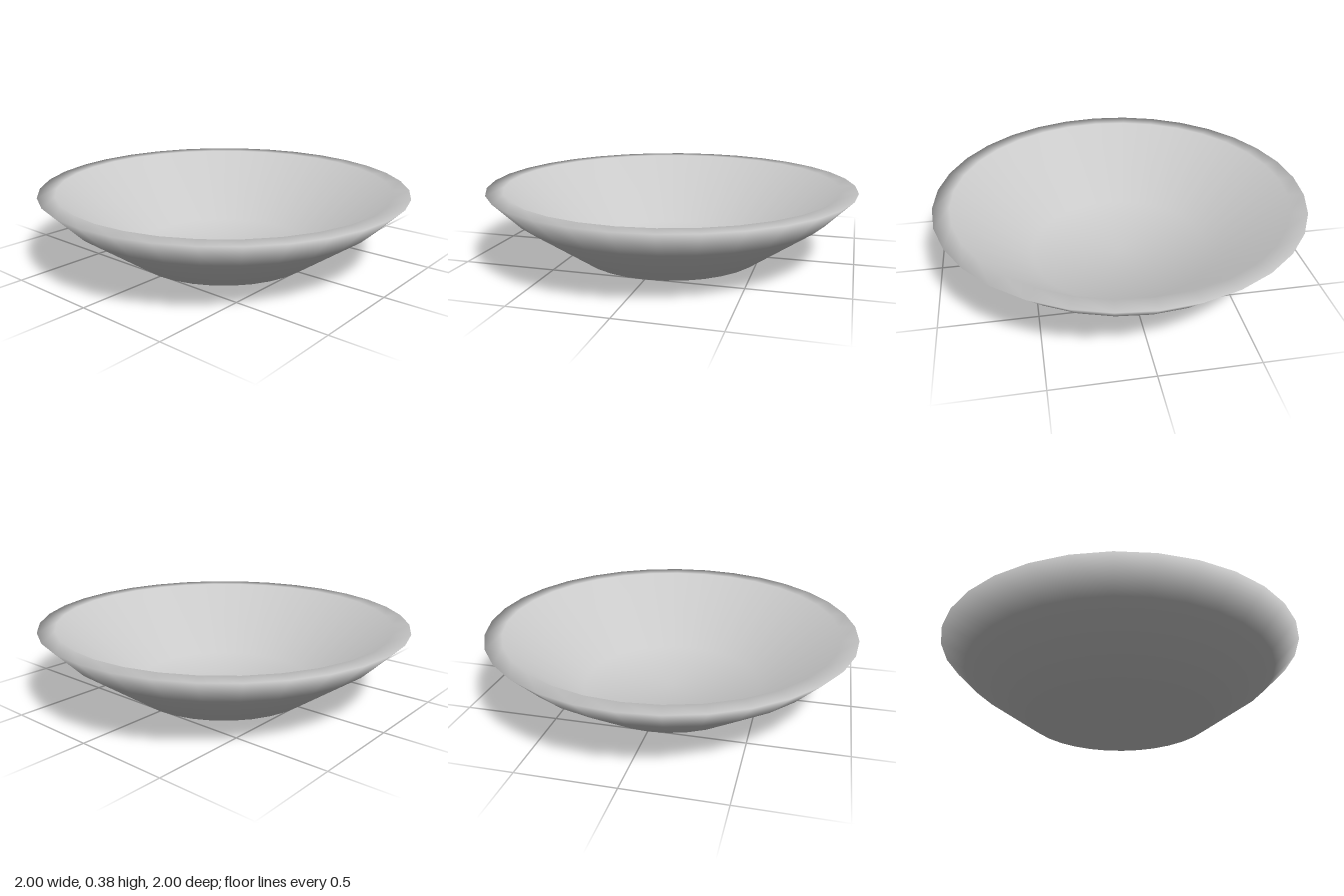
import * as THREE from 'three';

// Smooth normals for a lathe: each profile point averages its two neighbouring faces equally
function smoothAcrossProfile(geometry, profile) {
  const count = profile.length;
  const faces = profile.slice(1).map((p, i) => {
    const d = p.clone().sub(profile[i]).normalize();
    return new THREE.Vector2(d.y, -d.x);
  });
  const normal = geometry.attributes.normal;
  for (let i = 0; i < normal.count; i++) {
    const j = i % count;
    const angle = (Math.floor(i / count) / geometry.parameters.segments) * Math.PI * 2;
    const n = new THREE.Vector2();
    if (j === 0) n.set(0, -1);
    else if (j === count - 1) n.set(0, 1);
    else n.addVectors(faces[j - 1], faces[j]).normalize();
    normal.setXYZ(i, n.x * Math.sin(angle), n.y, n.x * Math.cos(angle));
  }
}

export function createModel() {
  const group = new THREE.Group();
  group.name = 'dish';

  // Closed cross-section: underside, outer wall, flat rim, inner wall, thin floor
  const profile = [
    [0, 0],
    [0.51, 0],
    [0.86, 0.245],
    [1, 0.385],
    [0.91, 0.385],
    [0.5, 0.025],
    [0, 0.01],
  ].map(([r, y]) => new THREE.Vector2(r, y));

  const geometry = new THREE.LatheGeometry(profile, 32);
  smoothAcrossProfile(geometry, profile);

  const bowl = new THREE.Mesh(
    geometry,
    new THREE.MeshStandardMaterial({ color: 0xcccccc })
  );
  bowl.name = 'bowl';
  group.add(bowl);
  return group;
}
